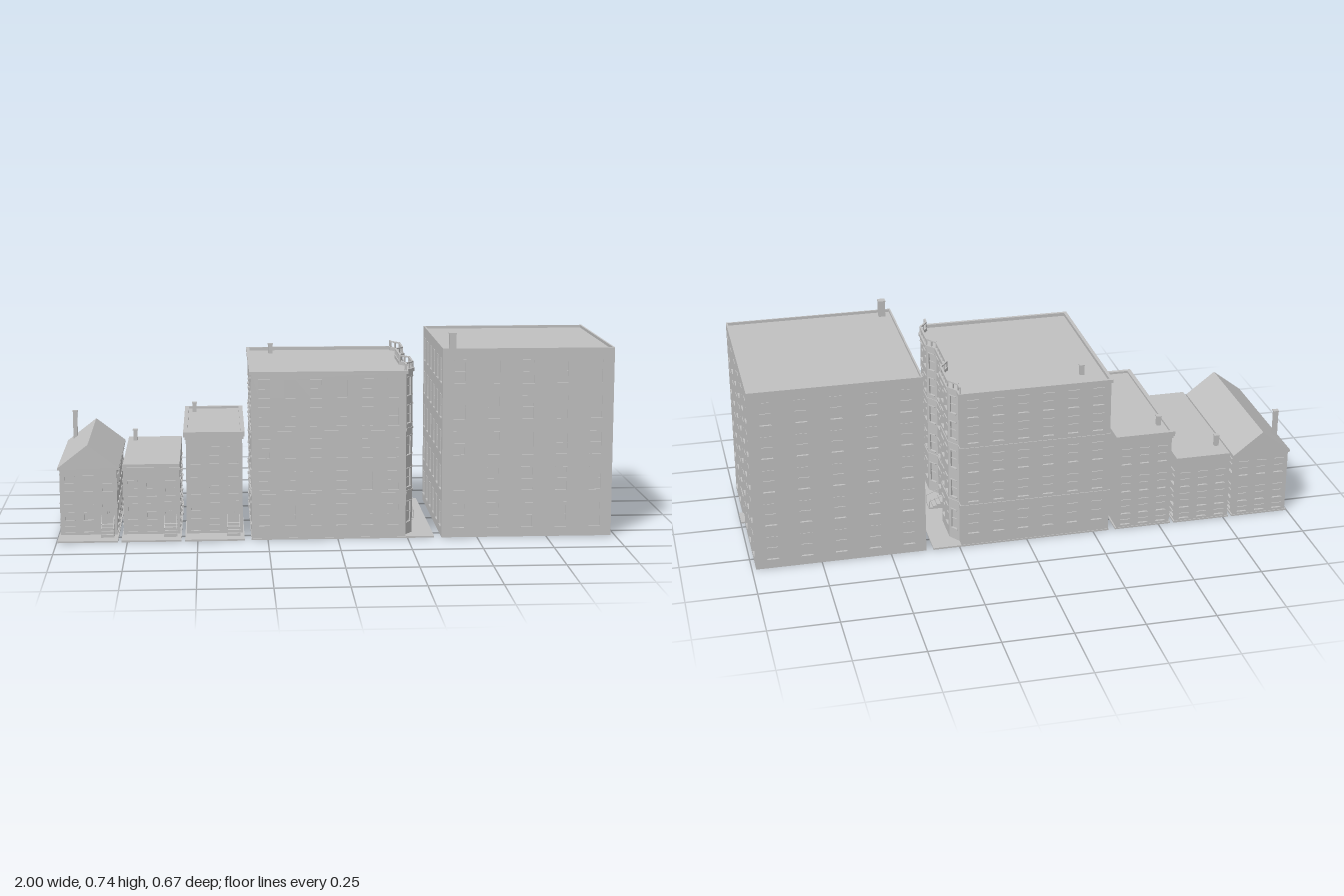
import * as THREE from 'three';
import { mergeGeometries } from 'three/addons/utils/BufferGeometryUtils.js';

const T = 0.006; // wall thickness, also the window recess
const stone = new THREE.MeshStandardMaterial({ color: 0xc0c0c0 });
stone.name = 'pale grey stone';

function add(parent, name, geometry) {
  const mesh = new THREE.Mesh(geometry, stone);
  mesh.name = name;
  parent.add(mesh);
  return mesh;
}

// Box given by its lowest and highest corners
const box = (x0, x1, y0, y1, z0, z1) =>
  new THREE.BoxGeometry(x1 - x0, y1 - y0, z1 - z0)
    .translate((x0 + x1) / 2, (y0 + y1) / 2, (z0 + z1) / 2);

// Move a footprint inwards by d, or outwards when d is negative
function inset(pts, d) {
  const normal = (a, b) => {
    const l = Math.hypot(b[0] - a[0], b[1] - a[1]);
    return [-(b[1] - a[1]) / l, (b[0] - a[0]) / l];
  };
  return pts.map((p, i) => {
    const n = normal(pts[(i + pts.length - 1) % pts.length], p);
    const m = normal(p, pts[(i + 1) % pts.length]);
    const k = d / (1 + n[0] * m[0] + n[1] * m[1]);
    return [p[0] - k * (n[0] + m[0]), p[1] - k * (n[1] + m[1])];
  });
}

// Upright prism over a footprint, with an optional hole
function prism(pts, y0, y1, hole) {
  const flat = (list) => list.map(([x, z]) => new THREE.Vector2(x, -z));
  const shape = new THREE.Shape(flat(pts));
  if (hole) shape.holes.push(new THREE.Path(flat(hole)));
  return new THREE.ExtrudeGeometry(shape, { depth: y1 - y0, bevelEnabled: false })
    .rotateX(-Math.PI / 2).translate(0, y0, 0);
}

const ring = (pts, out, y0, y1) => prism(inset(pts, -out), y0, y1, inset(pts, T));

// Local frame of a wall: x along it, y up, z outwards
function wallFrame(parent, name, a, b) {
  const g = new THREE.Group();
  g.name = name;
  g.position.set(a[0], 0, a[1]);
  g.rotation.y = Math.atan2(a[1] - b[1], b[0] - a[0]);
  parent.add(g);
  return g;
}

// Wall with real window openings, sash rails, sills, lintels and a door
function wall(parent, name, a, b, h, { n = 0, rows = [], ww = 0.04, door, lintel = 0.002 }) {
  const g = wallFrame(parent, name, a, b);
  const w = Math.hypot(b[0] - a[0], b[1] - a[1]);
  const shape = new THREE.Shape([[0, 0], [w, 0], [w, h], [0, h]].map((p) => new THREE.Vector2(...p)));
  const trim = [];
  const open = (x0, x1, y0, y1) => shape.holes.push(new THREE.Path(
    [[x0, y0], [x0, y1], [x1, y1], [x1, y0]].map((p) => new THREE.Vector2(...p))));
  for (const [y0, y1] of rows) {
    for (let i = 0; i < n; i++) {
      const c = (i + 0.5) * w / n, x0 = c - ww / 2, x1 = c + ww / 2, m = (y0 + y1) / 2;
      if (door && x1 > door[0] - 0.004 && x0 < door[1] + 0.004 && y0 < door[3]) continue;
      open(x0, x1, y0, y1);
      trim.push(box(x0 - 0.002, x1 + 0.002, y0 - 0.003, y0, -T, 0.003));
      trim.push(box(x0 - 0.002, x1 + 0.002, y1, y1 + 0.003, -T, lintel));
      if (y1 - y0 > 0.03) trim.push(box(x0, x1, m - 0.001, m + 0.001, -T, -0.002));
    }
  }
  if (door) {
    const [x0, x1, y0, y1] = door, c = (x0 + x1) / 2;
    open(x0, x1, y0, y1);
    for (const [l, r, s] of [[x0, c - 0.0008, -1], [c + 0.0008, x1, 1]]) {
      trim.push(box(l, r, y0, y1, -T, -0.003));
      trim.push(box(c + s * 0.004 - 0.0008, c + s * 0.004 + 0.0008, y0 + 0.035, y0 + 0.045, -0.004, 0));
    }
    trim.push(box(x0 - 0.003, x1 + 0.003, y1, y1 + 0.004, -T, 0.003));
  }
  add(g, 'wallFace', new THREE.ExtrudeGeometry(shape, { depth: T, bevelEnabled: false }).translate(0, 0, -T));
  if (trim.length) add(g, 'windowTrim', mergeGeometries(trim));
}

// Solid core behind the walls; its top is the roof
function building(parent, name, pts, h, recess, sides) {
  const g = new THREE.Group();
  g.name = name;
  parent.add(g);
  add(g, 'coreAndRoof', prism(inset(pts, T), 0, h - recess));
  pts.forEach((p, i) => wall(g, 'wall', p, pts[(i + 1) % pts.length], h, sides[i] || {}));
  return g;
}

const rect = (x0, x1, z0, z1) => [[x0, z1], [x1, z1], [x1, z0], [x0, z0]];

function chimney(g, x, z, y0, y1, s) {
  add(g, 'chimney', box(x - s, x + s, y0, y1 - 0.004, z - s, z + s));
  add(g, 'chimneyCap', box(x - s - 0.002, x + s + 0.002, y1 - 0.004, y1, z - s - 0.002, z + s + 0.002));
}

// Steps descending along local z, with a sloping handrail on both sides
function stoop(parent, name, a, b, x0, x1, top, depth) {
  const g = wallFrame(parent, name, a, b), n = 4, parts = [];
  for (let i = 0; i < n; i++) {
    parts.push(box(x0, x1, 0, 0.006 + (top - 0.006) * (n - i) / n, depth * i / n, depth * (i + 1) / n));
  }
  for (const x of [x0 + 0.002, x1 - 0.002]) {
    parts.push(box(x - 0.001, x + 0.001, 0, top + 0.03, 0.001, 0.003));
    parts.push(box(x - 0.001, x + 0.001, 0, 0.036, depth - 0.003, depth - 0.001));
    parts.push(box(x - 0.001, x + 0.001, -0.001, 0.001, 0, Math.hypot(depth, top - 0.006))
      .translate(-x, 0, 0).rotateX(Math.atan2(top - 0.006, depth)).translate(x, top + 0.03, 0));
  }
  add(g, 'stepsAndRails', mergeGeometries(parts));
}

// Narrow row house with ground plate and front stoop
function rowHouse(parent, name, x0, x1, h, recess, rows, sideRows, sideN) {
  const pts = rect(x0, x1, -0.328, 0.23), w = x1 - x0;
  const front = { n: 3, rows, ww: 0.034, lintel: 0.004, door: [w - 0.052, w - 0.016, 0.045, 0.122] };
  const side = { n: sideN, rows: sideRows, ww: 0.034, lintel: 0.004 };
  const g = building(parent, name, pts, h, recess, [front, side, { n: 3, rows, ww: 0.034, lintel: 0.004 }, side]);
  add(g, 'groundPlate', box(x0 - 0.005, x1 + 0.005, 0, 0.006, -0.33, 0.33));
  stoop(g, 'frontStoop', pts[0], pts[1], w - 0.058, w - 0.01, 0.045, 0.05);
  return g;
}

export function createModel() {
  const model = new THREE.Group();
  model.name = 'streetOfBuildings';
  const low = [[0.016, 0.034], [0.06, 0.115]];

  // Gabled house
  const rowsA = [...low, [0.165, 0.22]];
  const a = rowHouse(model, 'gabledHouse', -0.992, -0.788, 0.245, 0, rowsA, rowsA, 6);
  const gable = new THREE.Shape([[-1, 0.243], [-0.78, 0.243], [-0.78, 0.25], [-0.89, 0.335], [-1, 0.25]]
    .map((p) => new THREE.Vector2(...p)));
  add(a, 'gableRoof', new THREE.ExtrudeGeometry(gable, { depth: 0.562, bevelEnabled: false }).translate(0, 0, -0.33));
  chimney(a, -0.965, -0.25, 0.24, 0.38, 0.008);

  // Two-storey flat-roofed house
  const rowsB = [...low, [0.145, 0.2]];
  const b = rowHouse(model, 'flatRoofHouse', -0.766, -0.563, 0.262, 0, rowsB, rowsB, 7);
  add(b, 'frontCornice', box(-0.768, -0.561, 0.24, 0.25, 0.226, 0.236));
  chimney(b, -0.738, -0.25, 0.25, 0.305, 0.008);

  // Three-storey house with cornice
  const rowsC = [...low, [0.15, 0.21], [0.26, 0.32]];
  const c = rowHouse(model, 'corniceHouse', -0.54, -0.338, 0.378, 0.008, rowsC, [], 0);
  const ptsC = rect(-0.54, -0.338, -0.328, 0.23);
  add(c, 'lowerCornice', ring(ptsC, 0.004, 0.35, 0.36));
  add(c, 'upperCornice', ring(ptsC, 0.009, 0.36, 0.378));
  chimney(c, -0.512, -0.25, 0.365, 0.407, 0.008);

  // Apartment block with two projecting bays on its entrance side
  const ptsD = [[-0.307, 0.32], [0.243, 0.32], [0.243, 0.292], [0.272, 0.25], [0.272, 0.13], [0.243, 0.09],
    [0.243, -0.09], [0.272, -0.13], [0.272, -0.255], [0.243, -0.296], [0.243, -0.328], [-0.307, -0.328]];
  const rowsD = [[0.05, 0.125], [0.178, 0.245], [0.295, 0.362], [0.41, 0.475], [0.51, 0.575]];
  const cols = [6, 0, 1, 2, 1, 3, 1, 2, 1, 0, 6, 6];
  const sidesD = cols.map((n, i) => ({
    n, rows: rowsD, ww: i > 1 && i < 10 && n === 1 ? 0.028 : 0.038, lintel: 0.004,
    door: i === 5 ? [0.067, 0.113, 0.03, 0.125] : undefined,
  }));
  const d = building(model, 'bayFrontedBlock', ptsD, 0.606, 0.012, sidesD);
  for (const y of [0.16, 0.387]) add(d, 'beltCourse', ring(ptsD, 0.003, y, y + 0.006));
  add(d, 'roofCornice', ring(ptsD, 0.006, 0.594, 0.606));
  add(d, 'groundPlate', box(-0.309, 0.346, 0, 0.006, -0.33, 0.322));
  stoop(d, 'entranceSteps', ptsD[5], ptsD[6], 0.06, 0.12, 0.03, 0.06);
  chimney(d, -0.222, -0.235, 0.59, 0.633, 0.008);

  // Roof balustrade following the bays
  for (let i = 1; i < 10; i++) {
    const p = ptsD[i], q = ptsD[i + 1], w = Math.hypot(q[0] - p[0], q[1] - p[1]);
    const g = wallFrame(d, 'balustrade', p, q);
    const parts = [box(0, w, 0.625, 0.63, -0.005, 0.002)];
    const n = Math.max(1, Math.round(w / 0.03));
    for (let k = 0; k <= n; k++) {
      const x = k * w / n;
      parts.push(box(x - 0.0025, x + 0.0025, 0.604, 0.627, -0.004, 0.001));
    }
    add(g, 'railAndPosts', mergeGeometries(parts));
  }

  // Tall plain block with side entrance
  const rowsE = [[0.035, 0.122], [0.17, 0.252], [0.3, 0.382], [0.43, 0.511], [0.557, 0.64]];
  const wide = { n: 5, rows: rowsE }, deep = { n: 6, rows: rowsE };
  const e = building(model, 'tallBlock', rect(0.372, 0.985, -0.328, 0.322), 0.683, 0.01,
    [wide, { ...deep, door: [0.237, 0.305, 0.014, 0.115] }, wide, deep]);
  add(e, 'doorStep', box(0.98, 1, 0.008, 0.014, 0.014, 0.09));
  chimney(e, 0.41, 0.285, 0.67, 0.735, 0.012);

  return model;
}
